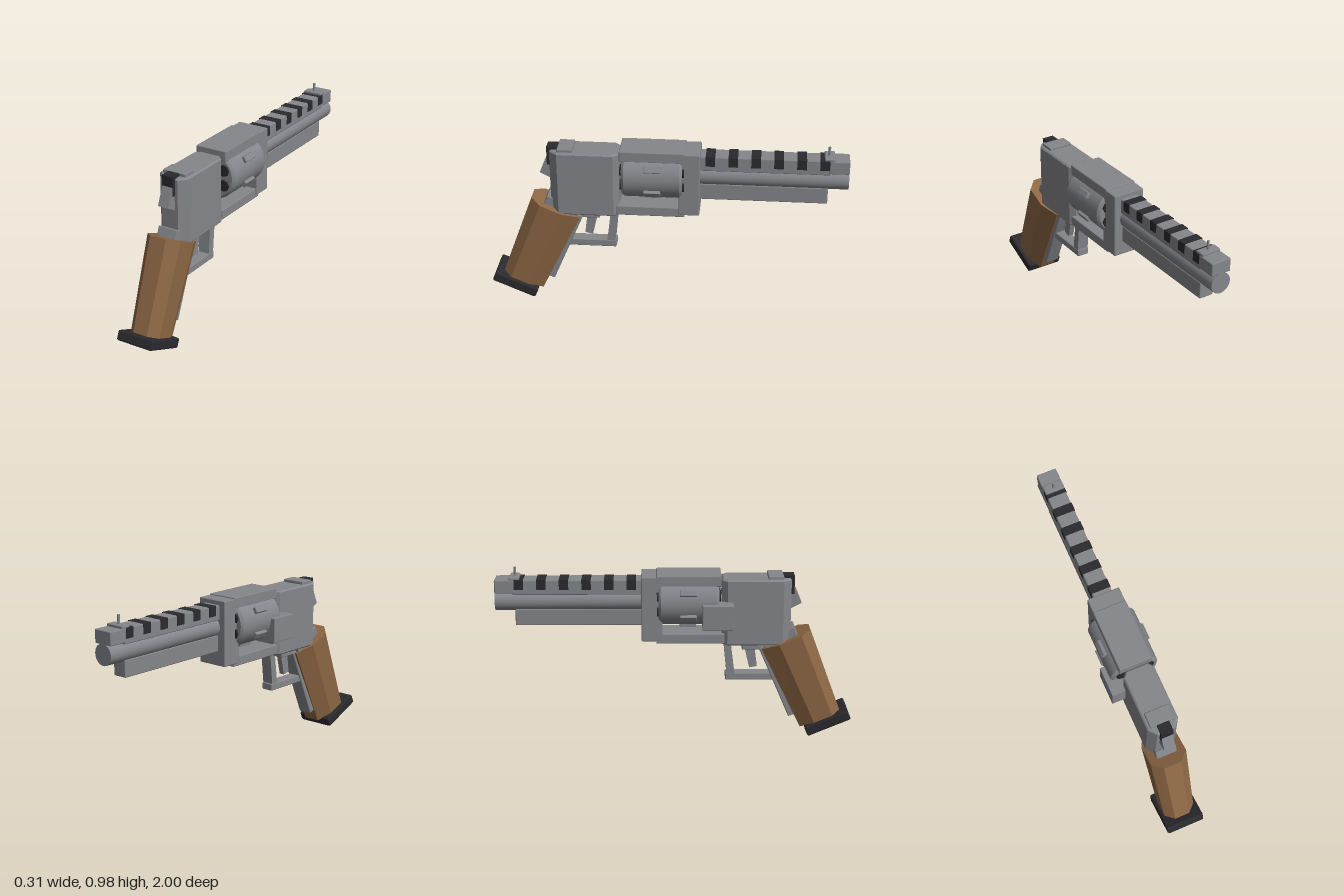
import * as THREE from 'three';
import { toCreasedNormals } from 'three/addons/utils/BufferGeometryUtils.js';
import { RoundedBoxGeometry } from 'three/addons/geometries/RoundedBoxGeometry.js';

const CX = 0.01; // centre line of the body
const TILT = -0.405; // rake of the grip

export function createModel() {
  const root = new THREE.Group();
  root.name = 'revolver';
  const mat = (name, color) => {
    const m = new THREE.MeshStandardMaterial({ color });
    m.name = name;
    return m;
  };
  const steel = mat('steel', 0x85868b);
  const wood = mat('wood', 0x8d6744);
  const dark = mat('darkMetal', 0x2a2a2f);

  const add = (name, geo, material, parent = root) => {
    const mesh = new THREE.Mesh(geo, material);
    mesh.name = name;
    parent.add(mesh);
    return mesh;
  };
  // Box from its extents, with softened edges
  const box = (name, [x0, x1], [y0, y1], [z0, z1], material = steel, r = 0.006) => {
    const geo = r > 0 ? new RoundedBoxGeometry(x1 - x0, y1 - y0, z1 - z0, 1, r)
      : new THREE.BoxGeometry(x1 - x0, y1 - y0, z1 - z0);
    const mesh = add(name, geo, material);
    mesh.position.set((x0 + x1) / 2, (y0 + y1) / 2, (z0 + z1) / 2);
    return mesh;
  };
  const wide = (h) => [CX - h, CX + h];
  // Side outline given as [z, y] points, extruded across x
  const sidePlate = (name, pts, half, material = steel) => {
    const shape = new THREE.Shape(pts.map(([z, y]) => new THREE.Vector2(-z, y)));
    const geo = new THREE.ExtrudeGeometry(shape, { depth: half * 2, bevelEnabled: false });
    geo.translate(0, 0, -half).rotateY(Math.PI / 2);
    add(name, geo, material).position.x = CX;
  };

  // Barrel, top rib and underlug
  const barrel = add('barrel', new THREE.CylinderGeometry(0.058, 0.058, 0.83, 32), steel);
  barrel.rotation.x = Math.PI / 2;
  barrel.position.set(CX, 0.793, -0.585);
  box('barrelRib', wide(0.054), [0.835, 0.92], [-0.9, -0.15]);
  box('muzzleBlock', wide(0.058), [0.845, 0.92], [-1, -0.89]);
  box('underlug', wide(0.042), [0.655, 0.75], [-0.89, -0.15]);
  for (let i = 0; i < 6; i++) {
    const z = -0.243 - i * 0.1245;
    box('ribVent', wide(0.057), [0.865, 0.922], [z - 0.026, z + 0.026], dark, 0);
  }
  box('frontSightBase', wide(0.056), [0.9, 0.935], [-0.918, -0.862]);
  const pin = add('frontSightPin', new THREE.CylinderGeometry(0.007, 0.007, 0.07, 10), steel);
  pin.position.set(CX, 0.948, -0.887);

  // Frame around the cylinder
  box('frontFrame', wide(0.093), [0.575, 0.945], [-0.188, -0.072]);
  box('topStrap', wide(0.094), [0.89, 0.952], [-0.105, 0.255]);
  box('bottomStrap', wide(0.085), [0.558, 0.615], [-0.105, 0.275]);

  // Rear frame with chamfered upright edges
  const plan = [[-0.088, -0.29], [-0.062, -0.26], [0.062, -0.26], [0.088, -0.29],
    [0.088, -0.6], [0.05, -0.645], [-0.05, -0.645], [-0.088, -0.6]];
  const rearGeo = new THREE.ExtrudeGeometry(
    new THREE.Shape(plan.map(([x, y]) => new THREE.Vector2(x, y))),
    { depth: 0.362, bevelEnabled: true, bevelThickness: 0.008, bevelSize: 0.008, bevelOffset: -0.008, bevelSegments: 1 });
  rearGeo.rotateX(-Math.PI / 2);
  add('rearFrame', rearGeo, steel).position.set(CX, 0.555, 0);
  box('sidePlate', [-0.155, -0.06], [0.66, 0.8], [0.15, 0.322], steel, 0.003);

  // Cylinder with bevelled ends, raised lugs and chambers
  const drum = new THREE.Group();
  drum.name = 'cylinder';
  drum.position.set(CX, 0.792, 0.075);
  root.add(drum);
  const profile = [[0, -0.167], [0.126, -0.167], [0.138, -0.153], [0.138, 0.153], [0.126, 0.167], [0, 0.167]];
  const drumGeo = new THREE.LatheGeometry(profile.map(([r, y]) => new THREE.Vector2(r, y)), 40);
  add('cylinderBody', toCreasedNormals(drumGeo.rotateX(Math.PI / 2), 0.5), steel, drum);
  for (let i = 0; i < 6; i++) {
    const a = Math.PI / 6 + i * Math.PI / 3;
    const lug = add('cylinderLug', new RoundedBoxGeometry(0.04, 0.036, 0.093, 1, 0.004), steel, drum);
    lug.position.set(Math.cos(a) * 0.135, Math.sin(a) * 0.135, -0.003);
    lug.rotation.z = a;
    const chamber = add('chamber', new THREE.CylinderGeometry(0.033, 0.033, 0.354, 8), dark, drum);
    chamber.rotation.x = Math.PI / 2;
    chamber.position.set(Math.cos(a) * 0.087, Math.sin(a) * 0.087, 0);
  }
  const axle = add('axle', new THREE.CylinderGeometry(0.03, 0.03, 0.38, 16), steel, drum);
  axle.rotation.x = Math.PI / 2;

  // Rear sight and hammer
  box('rearSight', wide(0.07), [0.9, 0.942], [0.515, 0.602]);
  box('hammerSlot', wide(0.035), [0.83, 0.94], [0.6, 0.663], dark, 0.003);
  sidePlate('hammer', [[0.62, 0.9], [0.655, 0.9], [0.705, 0.78], [0.645, 0.748], [0.62, 0.748]], 0.032);

  // Trigger and guard
  box('triggerHousing', wide(0.036), [0.505, 0.57], [0.375, 0.49]);
  sidePlate('trigger', [[0.39, 0.52], [0.448, 0.52], [0.464, 0.4], [0.42, 0.392]], 0.016);
  sidePlate('guardPost', [[0.27, 0.57], [0.31, 0.57], [0.338, 0.35], [0.293, 0.35]], 0.034);
  box('guardBar', wide(0.036), [0.323, 0.365], [0.284, 0.59]);

  // Grip: tapered eight-sided loft, raked back
  const section = [[0.05, 1], [0.105, 0.6], [0.105, -0.3], [0.055, -1],
    [-0.055, -1], [-0.105, -0.3], [-0.105, 0.6], [-0.05, 1]];
  const ring = (y, w, d) => section.map(([x, z]) => new THREE.Vector3(x * w, y, z * d));
  const top = ring(0.262, 1, 0.147);
  const bottom = ring(-0.262, 0.86, 0.123);
  const pos = [];
  const tri = (...v) => v.forEach((p) => pos.push(p.x, p.y, p.z));
  for (let i = 0; i < 8; i++) {
    const j = (i + 1) % 8;
    tri(bottom[i], bottom[j], top[j]);
    tri(bottom[i], top[j], top[i]);
    if (i > 0 && i < 7) {
      tri(top[0], top[i], top[j]);
      tri(bottom[0], bottom[j], bottom[i]);
    }
  }
  const gripGeo = new THREE.BufferGeometry();
  gripGeo.setAttribute('position', new THREE.Float32BufferAttribute(pos, 3));
  gripGeo.computeVertexNormals();
  const tilted = (mesh, y, z) => {
    mesh.position.set(CX, y, z);
    mesh.rotation.x = TILT;
  };
  tilted(add('grip', gripGeo, wood), 0.331, 0.725);
  tilted(add('gripFrontStrap', new RoundedBoxGeometry(0.085, 0.45, 0.08, 1, 0.006), steel), 0.323, 0.597);
  tilted(add('gripTang', new RoundedBoxGeometry(0.12, 0.16, 0.2, 1, 0.006), steel), 0.535, 0.605);
  tilted(add('gripCap', new RoundedBoxGeometry(0.222, 0.057, 0.264, 1, 0.01), dark), 0.082, 0.868);

  // A rounded box whose cut corners leave only its outline: fold this into exact bounds
  const b = new THREE.Box3().setFromObject(root, true);
  root.children.forEach((c) => { c.position.y -= b.min.y; });
  return root;
}
